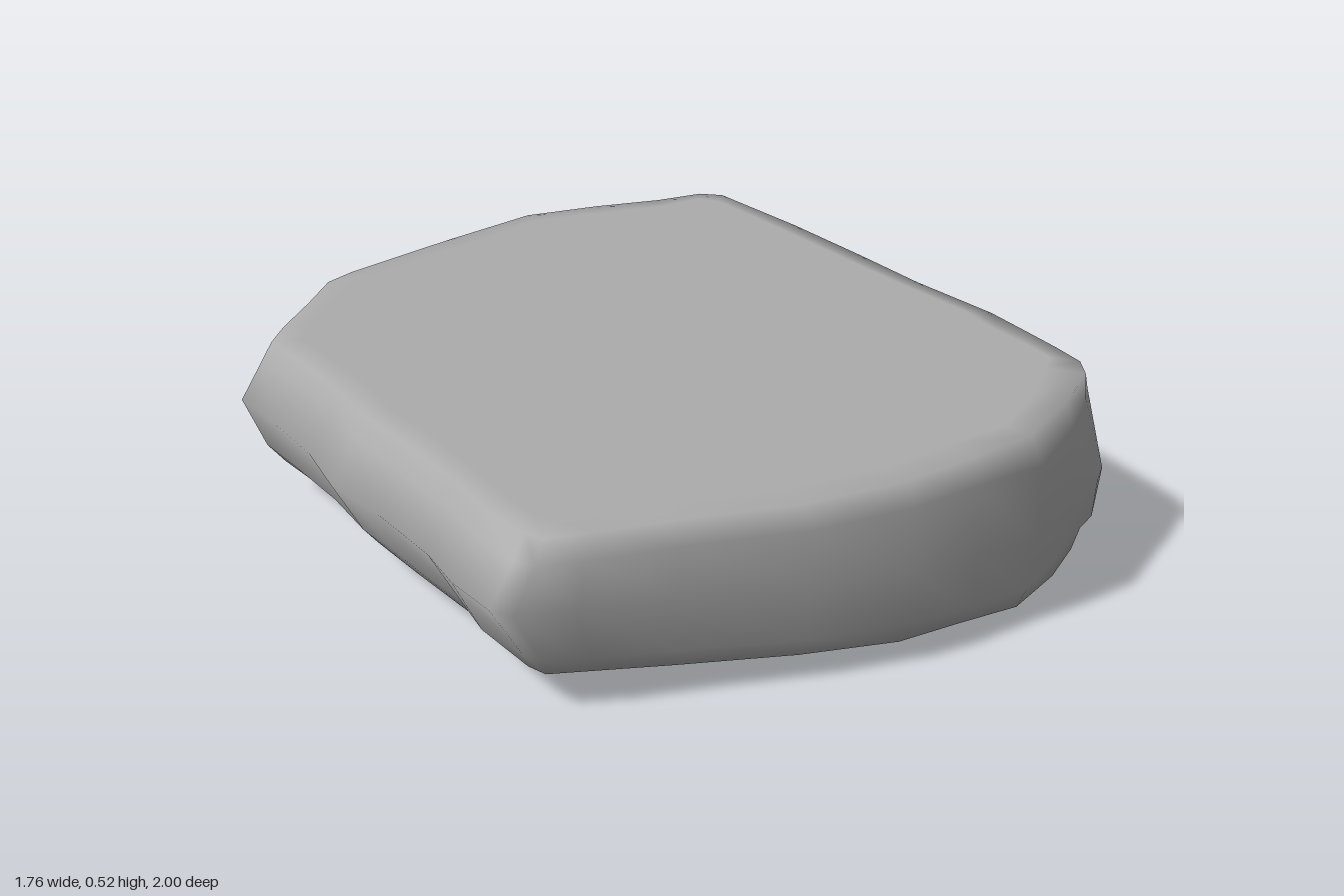
import * as THREE from 'three';

// Plan outline of the slab at its widest, as [x, z], clockwise seen from above
const outline = [
  [-0.85, -0.66], [-0.75, -0.735], [-0.6, -0.84], [-0.47, -0.94], [-0.38, -0.96], [-0.05, -0.99],
  [0.23, -1], [0.43, -0.92], [0.62, -0.84], [0.79, -0.8], [0.86, -0.74], [0.88, -0.4], [0.872, -0.1],
  [0.87, 0.15], [0.88, 0.43], [0.855, 0.57], [0.85, 0.7], [0.82, 0.79], [0.75, 0.84], [0.58, 0.92],
  [0.38, 0.995], [0.2, 0.98], [0.02, 0.975], [-0.22, 0.9], [-0.5, 0.79], [-0.72, 0.715], [-0.85, 0.67],
  [-0.88, 0.62], [-0.885, 0.47], [-0.865, 0.33], [-0.865, 0.1], [-0.885, -0.1], [-0.85, -0.28], [-0.845, -0.48],
];

// Levels from top centre to bottom centre:
// s = plan scale, l / r = reach of the left and right wedge, z = depth scale,
// tl / tr = height fraction at the -x and +x ends, n = roughness
const levels = [
  { s: 0, l: 0.775, r: 0.76, z: 0.96, tl: 1, tr: 1, n: 0 },
  { s: 0.5, l: 0.775, r: 0.76, z: 0.96, tl: 1, tr: 1, n: 0 },
  { s: 0.93, l: 0.775, r: 0.765, z: 0.96, tl: 1, tr: 1, n: 0.01 },
  { s: 1, l: 0.78, r: 0.765, z: 0.965, tl: 0.98, tr: 0.985, n: 0.008 },
  { s: 1, l: 0.815, r: 0.79, z: 0.99, tl: 0.84, tr: 0.85, n: 0.012 },
  { s: 1, l: 0.885, r: 0.88, z: 1, tl: 0.56, tr: 0.39, n: 0 },
  { s: 1, l: 0.805, r: 0.845, z: 0.985, tl: 0.14, tr: 0.14, n: 0.014 },
  { s: 1, l: 0.775, r: 0.82, z: 0.955, tl: 0.015, tr: 0.01, n: 0.008 },
  { s: 0.94, l: 0.775, r: 0.82, z: 0.95, tl: 0, tr: 0, n: 0.008 },
  { s: 0.5, l: 0.775, r: 0.82, z: 0.95, tl: 0, tr: 0, n: 0 },
  { s: 0, l: 0.775, r: 0.82, z: 0.95, tl: 0, tr: 0, n: 0 },
];

// The slab thickens gently toward +x
const topAt = x => 0.483 + 0.045 * x + 0.013 * x * x;
const bottomAt = x => Math.max(0, 0.053 - 0.064 * x);

function makeRandom(seed) {
  return () => {
    seed = (seed * 16807) % 2147483647;
    return (seed / 2147483647) * 2 - 1;
  };
}

function slabGeometry() {
  const random = makeRandom(417);
  const count = outline.length;
  const positions = [];
  const indices = [];
  levels.forEach((v, row) => {
    outline.forEach(([x0, z0], i) => {
      // Pull in the two ends more than the front and back
      const reach = x0 < 0 ? v.l / 0.885 : v.r / 0.88;
      const end = Math.min(1, Math.abs(x0) / 0.88);
      const rough = 1 + v.n * random();
      const x = x0 * (1 - (1 - reach) * end ** 3) * v.s * rough;
      const z = z0 * v.z * v.s * rough;
      const t = THREE.MathUtils.lerp(v.tl, v.tr, (x0 + 0.885) / 1.765);
      positions.push(x, THREE.MathUtils.lerp(bottomAt(x), topAt(x), t), z);
      if (row < levels.length - 1) {
        const a = row * count + i;
        const b = row * count + (i + 1) % count;
        if (row > 0) indices.push(a, b, a + count);
        if (row < levels.length - 2) indices.push(b, b + count, a + count);
      }
    });
  });
  const geometry = new THREE.BufferGeometry();
  geometry.setAttribute('position', new THREE.Float32BufferAttribute(positions, 3));
  geometry.setIndex(indices);
  geometry.computeVertexNormals();
  return geometry;
}

export function createModel() {
  const stone = new THREE.MeshStandardMaterial({ color: 0xaaaaaa });
  stone.name = 'grey stone';
  const slab = new THREE.Mesh(slabGeometry(), stone);
  slab.name = 'stoneSlab';
  const model = new THREE.Group();
  model.name = 'flatRock';
  model.add(slab);
  return model;
}
